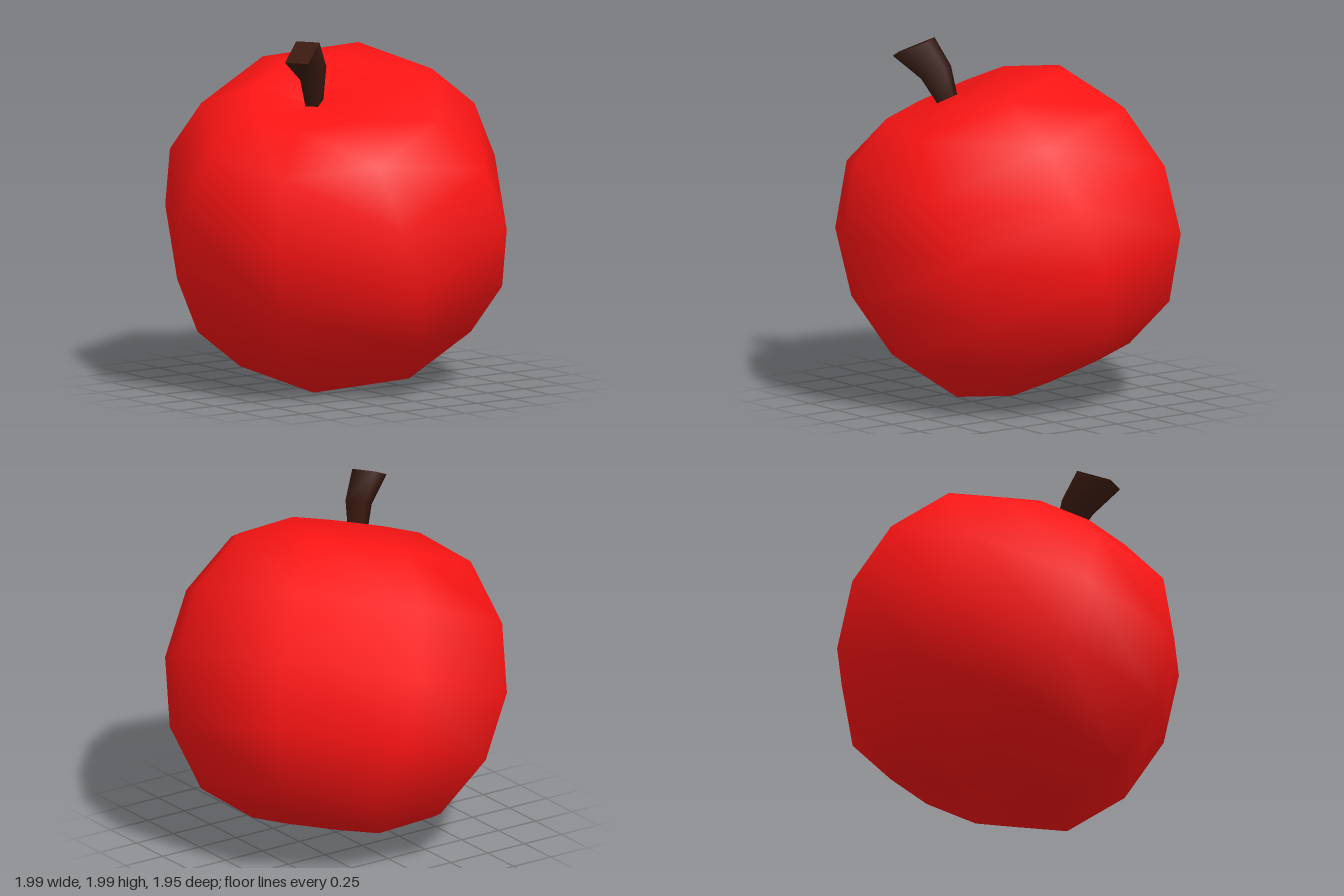
import * as THREE from 'three';

// Eight-sided lathed fruit body, dented at both poles
function makeBody() {
  const half = [[0, 0.74], [0.385, 0.835], [0.7, 0.705], [0.924, 0.383]];
  const profile = [
    ...half.map(([r, h]) => new THREE.Vector2(r, -h)),
    new THREE.Vector2(1, 0),
    ...half.slice().reverse().map(([r, h]) => new THREE.Vector2(r, h)),
  ];
  const body = new THREE.Mesh(
    new THREE.LatheGeometry(profile, 8),
    new THREE.MeshStandardMaterial({ color: 0xff1414 })
  );
  body.name = 'fruitBody';

  // Lean the fruit forward and to its right
  const up = new THREE.Vector3(-0.33, 0.91, 0.26).normalize();
  const front = new THREE.Vector3(0.93, 0.3, 0.2).cross(up).normalize();
  const side = new THREE.Vector3().crossVectors(up, front);
  body.quaternion.setFromRotationMatrix(new THREE.Matrix4().makeBasis(side, up, front));
  body.position.y = 0.945;
  return body;
}

// Bent four-sided stem, flaring towards its tip
function makeStem() {
  const side = new THREE.Vector3(0.59, 0, 0.81);
  // each section: centre, half width, half depth vector
  const sections = [
    [[-0.283, 1.642, 0.195], 0.037, [0.036, 0.015, -0.025]],
    [[-0.33, 1.82, 0.25], 0.058, [0.052, 0.03, -0.043]],
    [[-0.45, 1.955, 0.315], 0.068, [0.08, 0.045, -0.06]],
  ];
  const corners = [[-1, -1], [1, -1], [1, 1], [-1, 1]];
  const positions = [];
  const addRing = ([centre, width, depth]) => {
    for (const [s, d] of corners) {
      const p = new THREE.Vector3(...centre)
        .addScaledVector(side, s * width)
        .addScaledVector(new THREE.Vector3(...depth), d);
      positions.push(p.x, p.y, p.z);
    }
  };
  sections.forEach(addRing);
  // separate rings keep the end caps sharp
  addRing(sections[0]);
  addRing(sections[2]);

  const index = [];
  for (let row = 0; row < 2; row++) {
    for (let i = 0; i < 4; i++) {
      const a = row * 4 + i;
      const b = row * 4 + ((i + 1) % 4);
      index.push(a, b, b + 4, a, b + 4, a + 4);
    }
  }
  index.push(12, 14, 13, 12, 15, 14, 16, 17, 18, 16, 18, 19);

  const geometry = new THREE.BufferGeometry();
  geometry.setAttribute('position', new THREE.Float32BufferAttribute(positions, 3));
  geometry.setIndex(index);
  geometry.computeVertexNormals();
  const stem = new THREE.Mesh(geometry, new THREE.MeshStandardMaterial({ color: 0x3a1a10 }));
  stem.name = 'stem';
  return stem;
}

export function createModel() {
  const model = new THREE.Group();
  model.name = 'apple';
  model.add(makeBody(), makeStem());
  return model;
}
